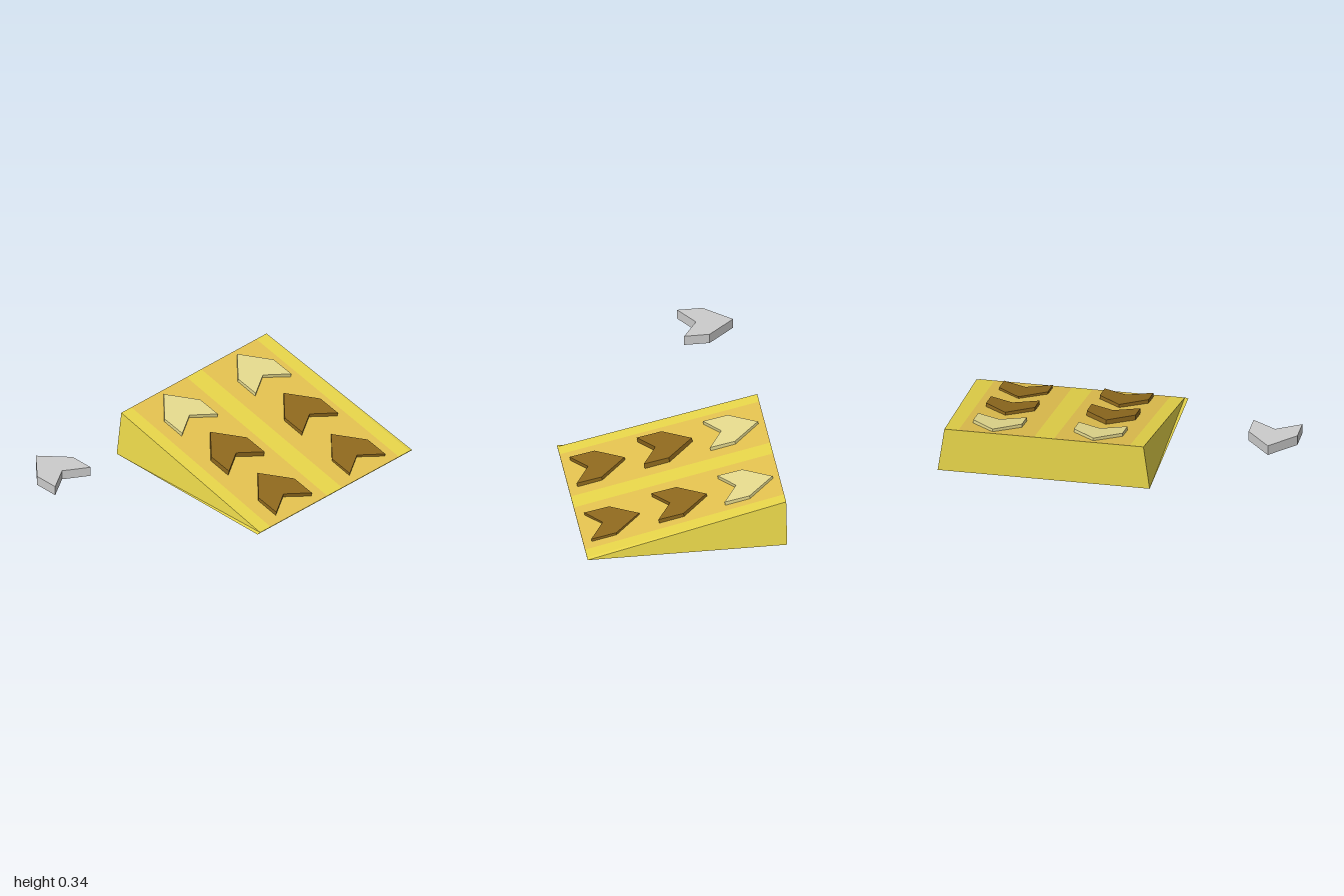
import * as THREE from 'three';

const mat = (color) => new THREE.MeshStandardMaterial({ color, flatShading: true });

// Flat mesh from quads, corners counter-clockwise seen from outside
function quadMesh(quads, color, name) {
  const pos = quads.flatMap(([a, b, c, d]) => [a, b, c, a, c, d].flat());
  const geo = new THREE.BufferGeometry();
  geo.setAttribute('position', new THREE.Float32BufferAttribute(pos, 3));
  geo.computeVertexNormals();
  const mesh = new THREE.Mesh(geo, mat(color));
  mesh.name = name;
  return mesh;
}

// Chevron arrow pointing to -z, its top face at local y = 0
function arrowGeometry(thickness) {
  const shape = new THREE.Shape([
    [0, 0.149], [-0.138, -0.003], [-0.138, -0.146], [0, -0.06], [0.138, -0.146], [0.138, -0.003],
  ].map(([x, y]) => new THREE.Vector2(x, y)));
  const geo = new THREE.ExtrudeGeometry(shape, { depth: thickness, bevelEnabled: false });
  return geo.translate(0, 0, -thickness).rotateX(-Math.PI / 2);
}

export function createModel() {
  const model = new THREE.Group();
  model.name = 'boostRamp';
  const yellow = 0xe8d64a, orange = 0xe5c350;

  // Ramp body: wedge with sides leaning inwards
  const y0 = 0.025, yF = 0.029, yB = 0.283, z = 0.56;
  const front = [-0.18, 0.978], back = [-0.165, 0.962];
  const bFL = [-0.2, y0, z], bFR = [1, y0, z], bBL = [-0.2, y0, -z], bBR = [1, y0, -z];
  const tFL = [front[0], yF, z], tFR = [front[1], yF, z];
  const tBL = [back[0], yB, -z], tBR = [back[1], yB, -z];
  model.add(quadMesh([
    [bFL, bBL, bBR, bFR],
    [bFL, bFR, tFR, tFL],
    [bBR, bBL, tBL, tBR],
    [bFR, bBR, tBR, tFR],
    [bBL, bFL, tFL, tBL],
  ], yellow, 'rampBody'));

  // Sloped deck in lengthwise stripes
  const stops = [0, 0.07, 0.45, 0.55, 0.93, 1];
  const at = ([a, b], t) => a + (b - a) * t;
  for (let i = 0; i < stops.length - 1; i++) {
    const [s, e] = [stops[i], stops[i + 1]];
    model.add(quadMesh([[
      [at(front, s), yF, z], [at(front, e), yF, z],
      [at(back, e), yB, -z], [at(back, s), yB, -z],
    ]], i % 2 ? orange : yellow, i % 2 ? 'deckLane' : 'deckBorder'));
  }

  // Two columns of arrows lying on the slope
  const arrowGeo = arrowGeometry(0.057);
  const rows = [
    { z: -0.375, y: 0.26, color: 0xe6db8e, drop: 0, name: 'paleArrow' },
    { z: -0.004, y: 0.186, color: 0x906a1e, drop: 0.008, name: 'middleArrow' },
    { z: 0.373, y: 0.093, color: 0x906a1e, drop: 0.008, name: 'lowerArrow' },
  ];
  for (const row of rows) {
    [0.127, 0.697].forEach((x, col) => {
      const arrow = new THREE.Mesh(arrowGeo, mat(row.color));
      arrow.position.set(x, row.y - col * row.drop, row.z);
      arrow.rotation.x = 0.2;
      arrow.name = row.name;
      model.add(arrow);
    });
  }

  // Loose level arrow beside the ramp
  const loose = new THREE.Mesh(arrowGeo, mat(0xcccccc));
  loose.position.set(-0.862, 0.341, -0.376);
  loose.name = 'looseArrow';
  model.add(loose);

  return model;
}
